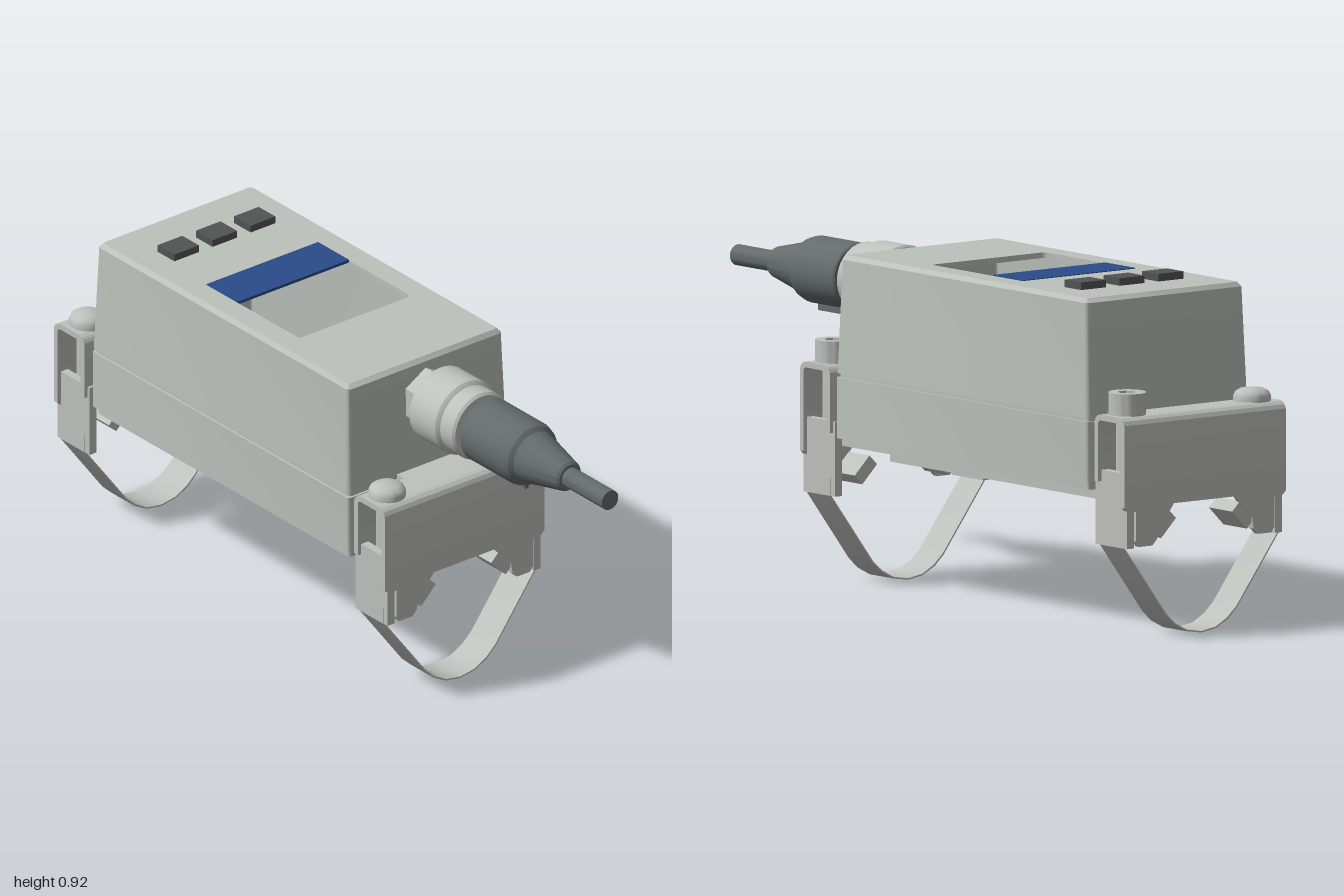
import * as THREE from 'three';
import { toCreasedNormals } from 'three/addons/utils/BufferGeometryUtils.js';

const mat = (name, color) => {
  const m = new THREE.MeshStandardMaterial({ color });
  m.name = name;
  return m;
};

export function createModel() {
  const housingGrey = mat('housing grey', 0xbcc1bb);
  const steel = mat('steel', 0xbfc1bd);
  const rubber = mat('dark rubber', 0x636c6b);
  const keyDark = mat('key dark', 0x525453);
  const blue = mat('display blue', 0x2a4a88);
  const root = new THREE.Group();
  root.name = 'displayUnit';

  const add = (parent, name, geo, material, x = 0, y = 0, z = 0) => {
    const m = new THREE.Mesh(geo, material);
    m.name = name;
    m.position.set(x, y, z);
    parent.add(m);
    return m;
  };
  const box = (parent, name, material, x0, x1, y0, y1, z0, z1) =>
    add(parent, name, new THREE.BoxGeometry(x1 - x0, y1 - y0, z1 - z0), material,
      (x0 + x1) / 2, (y0 + y1) / 2, (z0 + z1) / 2);
  // extrusion centred on z = 0
  const slab = (shape, depth) => new THREE.ExtrudeGeometry(shape, { depth, bevelEnabled: false, curveSegments: 24 })
    .translate(0, 0, -depth / 2);
  const polygon = pts => new THREE.Shape(pts.map(([x, y]) => new THREE.Vector2(x, y)));
  // mirrors half an outline (from the centre outwards) to a full one
  const mirrored = half => polygon([...half, ...half.slice().reverse().map(([x, y]) => [-x, y])]);
  const rectPath = (x0, x1, y0, y1) => polygon([[x0, y0], [x1, y0], [x1, y1], [x0, y1]]);

  // skin through rounded rectangles [y, halfWidth, zBack, zFront, cornerRadius]
  function loft(rings) {
    const pos = [], idx = [], seg = 3, n = 4 * (seg + 1);
    for (const [y, hx, z0, z1, r] of rings) {
      for (let c = 0; c < 4; c++) {
        const cx = (c === 0 || c === 3 ? 1 : -1) * (hx - r);
        const cz = c < 2 ? z1 - r : z0 + r;
        for (let s = 0; s <= seg; s++) {
          const a = (c + s / seg) * Math.PI / 2;
          pos.push(cx + r * Math.cos(a), y, cz + r * Math.sin(a));
        }
      }
    }
    for (let i = 0; i < rings.length - 1; i++) {
      for (let j = 0; j < n; j++) {
        const k = (j + 1) % n, a = i * n, b = a + n;
        idx.push(a + j, b + j, b + k, a + j, b + k, a + k);
      }
    }
    const g = new THREE.BufferGeometry();
    g.setAttribute('position', new THREE.Float32BufferAttribute(pos, 3));
    g.setIndex(idx);
    return toCreasedNormals(g, 0.6);
  }

  // hollow housing: base, seam groove, tapered cover, window, inside, floor slot
  const bottom = [0.39, 0.262, -0.832, 0.228, 0.01];
  add(root, 'housing', loft([
    bottom,
    [0.41, 0.262, -0.832, 0.228, 0.01],
    [0.41, 0.272, -0.842, 0.238, 0.01],
    [0.573, 0.272, -0.842, 0.238, 0.01],
    [0.573, 0.265, -0.835, 0.231, 0.01],
    [0.584, 0.265, -0.835, 0.231, 0.01],
    [0.584, 0.272, -0.84, 0.236, 0.012],
    [0.888, 0.263, -0.828, 0.225, 0.012],
    [0.9, 0.253, -0.818, 0.215, 0.01],
    [0.9, 0.19, -0.46, -0.07, 0.01],
    [0.885, 0.19, -0.46, -0.07, 0.01],
    [0.885, 0.248, -0.81, 0.207, 0.005],
    [0.584, 0.255, -0.82, 0.217, 0.005],
    [0.41, 0.255, -0.82, 0.217, 0.005],
    [0.41, 0.115, -0.33, -0.285, 0.005],
    [0.39, 0.115, -0.33, -0.285, 0.005],
    bottom,
  ]), housingGrey);
  box(root, 'slotCover', housingGrey, -0.115, 0.115, 0.39, 0.4, -0.33, -0.285);

  // plate under the base with a cross slot
  const plate = rectPath(-0.15, 0.15, -0.16, 0.77);
  plate.holes.push(rectPath(-0.115, 0.115, 0.285, 0.33));
  add(root, 'basePlate', slab(plate, 0.045).rotateX(-Math.PI / 2), housingGrey, 0, 0.3675, 0);

  // display strip and keys
  box(root, 'displayStrip', blue, -0.19, 0.19, 0.894, 0.902, -0.46, -0.33);
  for (const x of [-0.13, 0, 0.13]) {
    box(root, 'key', keyDark, x - 0.042, x + 0.042, 0.895, 0.92, -0.687, -0.617);
  }

  // cable connector along +z
  const connector = new THREE.Group();
  connector.name = 'connector';
  connector.position.y = 0.79;
  root.add(connector);
  const turned = (name, pts, material) => add(connector, name, toCreasedNormals(
    new THREE.LatheGeometry(pts.map(([r, z]) => new THREE.Vector2(r, z)), 40).rotateX(Math.PI / 2), 0.4), material);
  add(connector, 'neck', toCreasedNormals(
    new THREE.CylinderGeometry(0.08, 0.08, 0.08, 6).rotateX(Math.PI / 2), 0.4), steel, 0, 0, 0.25);
  turned('couplingNut', [[0, 0.282], [0.1, 0.282], [0.106, 0.288], [0.106, 0.395], [0.1, 0.402],
    [0.096, 0.405], [0.096, 0.455], [0.09, 0.462], [0.07, 0.462], [0.07, 0.485], [0, 0.485]], steel);
  turned('cableGrip', [[0, 0.477], [0.086, 0.477], [0.09, 0.482], [0.09, 0.655], [0.084, 0.675],
    [0.073, 0.685], [0.042, 0.825], [0.036, 0.832], [0, 0.832]], rubber);
  turned('cable', [[0, 0.82], [0.028, 0.82], [0.028, 1], [0, 1]], rubber);
  box(connector, 'gripKey', rubber, -0.006, 0.006, -0.108, -0.08, 0.485, 0.65);

  // bent sheet profile: outer leg, rounded bends, inner leg (shape x becomes z)
  const channel = new THREE.Shape();
  channel.moveTo(0.067, 0.36);
  channel.lineTo(0.067, 0.572);
  channel.absarc(0.039, 0.572, 0.028, 0, Math.PI / 2, false);
  channel.lineTo(-0.034, 0.6);
  channel.absarc(-0.034, 0.572, 0.028, Math.PI / 2, Math.PI, false);
  channel.lineTo(-0.062, 0.42);
  channel.lineTo(-0.046, 0.42);
  channel.lineTo(-0.046, 0.572);
  channel.absarc(-0.034, 0.572, 0.012, Math.PI, Math.PI / 2, true);
  channel.lineTo(0.039, 0.584);
  channel.absarc(0.039, 0.572, 0.012, Math.PI / 2, 0, true);
  channel.lineTo(0.051, 0.36);
  channel.closePath();

  const feet = mirrored([[0, 0.357], [0.105, 0.357], [0.118, 0.34], [0.158, 0.295], [0.163, 0.265],
    [0.178, 0.25], [0.222, 0.25], [0.233, 0.265], [0.233, 0.345], [0.262, 0.348], [0.272, 0.36]]);
  const strapOuter = [[0, 0.003], [0.05, 0.011], [0.09, 0.032], [0.12, 0.06], [0.262, 0.25], [0.262, 0.3]];
  const strapInner = [[0, 0.007], [0.049, 0.015], [0.087, 0.036], [0.117, 0.063], [0.258, 0.251], [0.258, 0.3]];
  const flip = pts => pts.map(([x, y]) => [-x, y]);
  const strap = polygon([...flip(strapOuter).reverse(), ...strapOuter.slice(1),
    ...strapInner.slice().reverse(), ...flip(strapInner).slice(1)]);

  const socketHead = new THREE.Shape().absarc(0, 0, 0.05, 0, Math.PI * 2, false);
  socketHead.holes.push(polygon([0, 1, 2, 3, 4, 5].map(i =>
    [0.026 * Math.cos(i * Math.PI / 3), 0.026 * Math.sin(i * Math.PI / 3)])));
  const dome = [[0, 0], [0.05, 0], [0.05, 0.014], [0.045, 0.025], [0.032, 0.033], [0, 0.036]]
    .map(([r, y]) => new THREE.Vector2(r, y));

  // clamp brackets; the rear one faces backwards, its screws keep their sides
  for (const [name, z, turn] of [['frontBracket', 0.323, 0], ['rearBracket', -0.933, Math.PI]]) {
    const g = new THREE.Group();
    g.name = name;
    g.position.z = z;
    g.rotation.y = turn;
    root.add(g);
    add(g, 'channel', toCreasedNormals(slab(channel, 0.544).rotateY(-Math.PI / 2), 0.4), steel);
    add(g, 'footPlate', slab(feet, 0.016), steel, 0, 0.003, 0.059);
    add(g, 'strap', toCreasedNormals(slab(strap, 0.1), 0.6), steel);
    box(g, 'hook', steel, -0.105, 0.105, 0.55, 0.59, -0.088, -0.055);
    for (const s of [-1, 1]) {
      box(g, 'sideFlange', steel, s * 0.249 - 0.012, s * 0.249 + 0.012, 0.25, 0.45, -0.07, 0.064);
      const tab = add(g, 'gripTab', new THREE.BoxGeometry(0.07, 0.036, 0.1), steel, s * 0.132, 0.307, 0.012);
      tab.rotation.z = -s * Math.PI / 4;
      add(g, 'screwShaft', new THREE.CylinderGeometry(0.034, 0.034, 0.18, 24), steel, s * 0.205, 0.5, 0);
    }
    const side = turn ? -1 : 1;
    add(g, 'socketScrew', toCreasedNormals(slab(socketHead, 0.06).rotateX(-Math.PI / 2), 0.4), steel,
      side * 0.21, 0.629, 0);
    add(g, 'socketFloor', new THREE.CylinderGeometry(0.03, 0.03, 0.02, 24), steel, side * 0.21, 0.61, 0);
    add(g, 'domeRivet', toCreasedNormals(new THREE.LatheGeometry(dome, 32), 0.7), steel, -side * 0.21, 0.599, 0);
  }
  return root;
}
